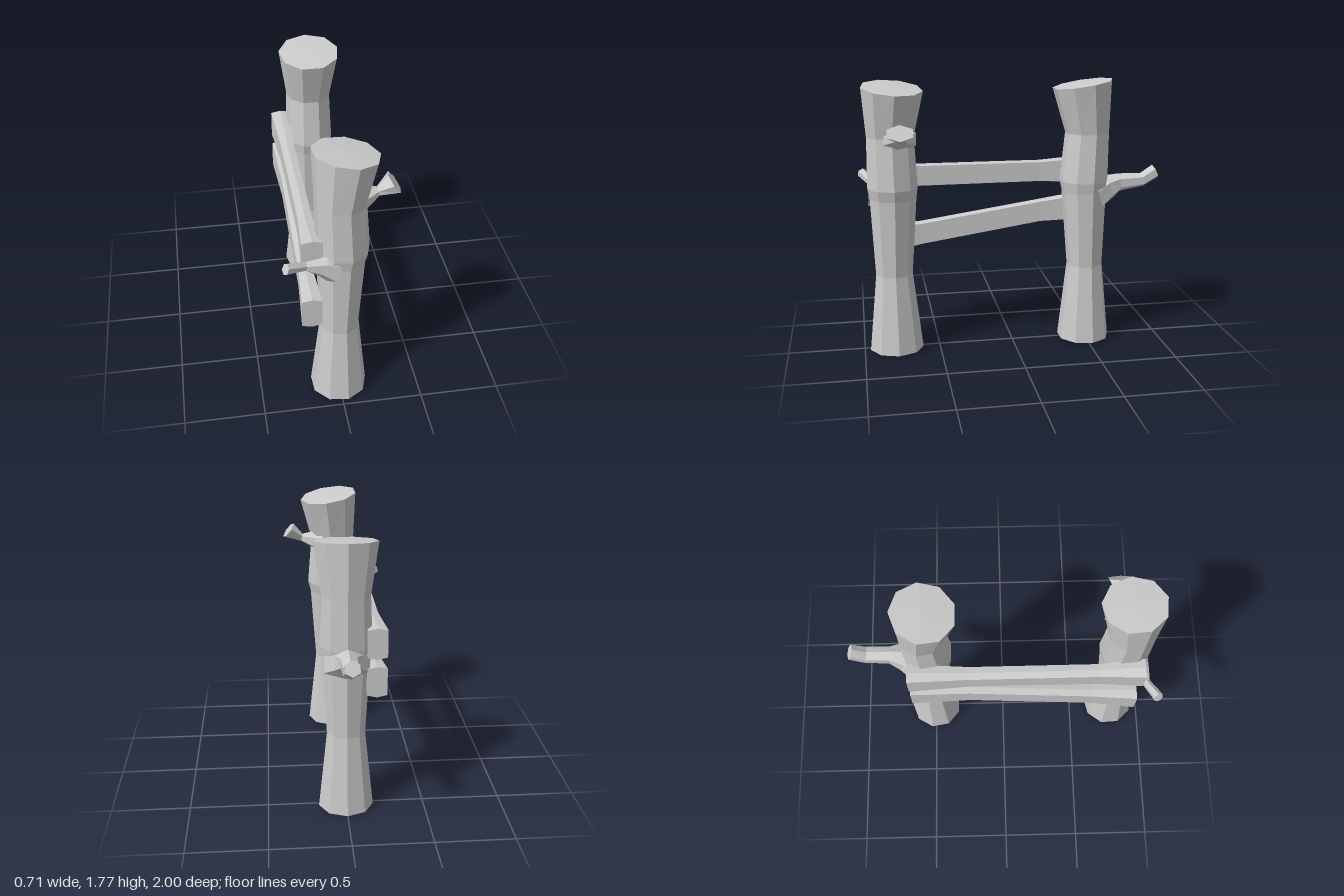
import * as THREE from 'three';

const material = new THREE.MeshStandardMaterial({ color: 0xcccccc, flatShading: true, side: THREE.DoubleSide });

// Skin a list of rings (each counter-clockwise about the direction of travel) and cap both ends
function loft(name, rings, dome = 0) {
  const pos = [];
  const tri = (...pts) => pts.forEach((p) => pos.push(p.x, p.y, p.z));
  const n = rings[0].length;
  const middle = (ring) => ring.reduce((s, p) => s.add(p), new THREE.Vector3()).divideScalar(n);
  const first = rings[0], last = rings[rings.length - 1];
  const c0 = middle(first), c1 = middle(last);
  c1.y += dome;
  for (let j = 0; j < n; j++) {
    const k = (j + 1) % n;
    for (let i = 0; i < rings.length - 1; i++) {
      const a = rings[i], b = rings[i + 1];
      tri(a[j], a[k], b[k]);
      tri(a[j], b[k], b[j]);
    }
    tri(c0, first[k], first[j]);
    tri(c1, last[j], last[k]);
  }
  const geometry = new THREE.BufferGeometry();
  geometry.setAttribute('position', new THREE.Float32BufferAttribute(pos, 3));
  geometry.computeVertexNormals();
  const mesh = new THREE.Mesh(geometry, material);
  mesh.name = name;
  return mesh;
}

// Nine-sided trunk; levels are [x, y, z, radius], the sawn top slopes in x and z
function post(name, levels, turn, slopeX, slopeZ) {
  const rings = levels.map(([x, y, z, r], i) => Array.from({ length: 9 }, (_, j) => {
    const a = Math.PI + turn + (j / 9) * Math.PI * 2;
    const dx = Math.sin(a) * r, dz = Math.cos(a) * r;
    const tilt = i === levels.length - 1 ? slopeX * dx + slopeZ * dz : 0;
    return new THREE.Vector3(x + dx, y + tilt, z + dz);
  }));
  return loft(name, rings, 0.008);
}

// Six-sided branch stub; sections are [centre, direction, vertical radius, sideways radius]
function branch(name, sections) {
  const rings = sections.map(([c, d, ru, rs]) => {
    const t = new THREE.Vector3(...d).normalize();
    const side = t.clone().cross(new THREE.Vector3(0, 1, 0)).normalize();
    const up = side.clone().cross(t);
    return Array.from({ length: 6 }, (_, j) => {
      const a = (j / 6) * Math.PI * 2;
      return new THREE.Vector3(...c)
        .addScaledVector(up, Math.cos(a) * ru)
        .addScaledVector(side, Math.sin(a) * rs);
    });
  });
  return loft(name, rings);
}

// Rail with peaked top and bottom, thicker at both ends; sections are [z, y, half height, half width]
function rail(name, sections) {
  const outline = [[1, -0.86], [1, 0.88], [0, 1], [-1, 0.88], [-1, -0.86], [0, -1]];
  return loft(name, sections.map(([z, y, h, w]) =>
    outline.map(([u, v]) => new THREE.Vector3(-0.183 + u * w, y + v * h, z))));
}

export function createModel() {
  const model = new THREE.Group();

  // Trunks
  model.add(post('frontPost', [
    [0, 0, 0.788, 0.179], [0, 0.52, 0.79, 0.122], [0.005, 1.03, 0.783, 0.152],
    [0.012, 1.1, 0.785, 0.163], [-0.005, 1.43, 0.79, 0.153], [0.025, 1.738, 0.771, 0.197],
  ], -0.13, -0.15, 0.08));
  model.add(post('rearPost', [
    [0, 0, -0.497, 0.177], [0, 0.52, -0.5, 0.122], [0, 1.03, -0.488, 0.152],
    [0, 1.1, -0.485, 0.163], [0, 1.42, -0.503, 0.148], [0, 1.74, -0.465, 0.197],
  ], 0, 0.01, -0.155));

  // Rails
  model.add(rail('upperRail', [
    [-0.605, 1.137, 0.1, 0.062], [-0.22, 1.135, 0.074, 0.043],
    [0.6, 1.135, 0.076, 0.043], [0.89, 1.142, 0.098, 0.062],
  ]));
  model.add(rail('lowerRail', [
    [-0.605, 0.89, 0.1, 0.062], [-0.22, 0.857, 0.078, 0.043],
    [0.6, 0.735, 0.08, 0.043], [0.89, 0.697, 0.105, 0.062],
  ]));

  // Branch stubs
  model.add(branch('frontLeftBranch', [
    [[0.08, 1.42, 0.75], [1, 0.1, 0], 0.08, 0.14],
    [[0.135, 1.425, 0.75], [1, 0.1, 0], 0.06, 0.1],
    [[0.22, 1.442, 0.74], [1, 0.3, 0], 0.027, 0.032],
    [[0.312, 1.496, 0.74], [0.77, 0.64, 0], 0.06, 0.092],
  ]));
  model.add(branch('frontRightBranch', [
    [[-0.05, 1.02, 0.87], [-1, 0.4, 0.3], 0.1, 0.08],
    [[-0.12, 1.06, 0.895], [-1, 0.4, 0.15], 0.07, 0.045],
    [[-0.225, 1.083, 0.907], [-1, 0.2, 0.2], 0.026, 0.028],
    [[-0.345, 1.128, 0.972], [-1, 0.45, 0.45], 0.036, 0.032],
  ]));
  model.add(branch('rearBranch', [
    [[0, 1.0, -0.57], [0, 0.35, -1], 0.1, 0.16],
    [[0, 1.045, -0.655], [0, 0.35, -1], 0.085, 0.09],
    [[0, 1.075, -0.73], [0, 0.15, -1], 0.06, 0.056],
    [[0, 1.087, -0.885], [0, 0.25, -1], 0.046, 0.054],
    [[0, 1.143, -0.978], [0, 0.5, -1], 0.048, 0.05],
  ]));

  return model;
}
